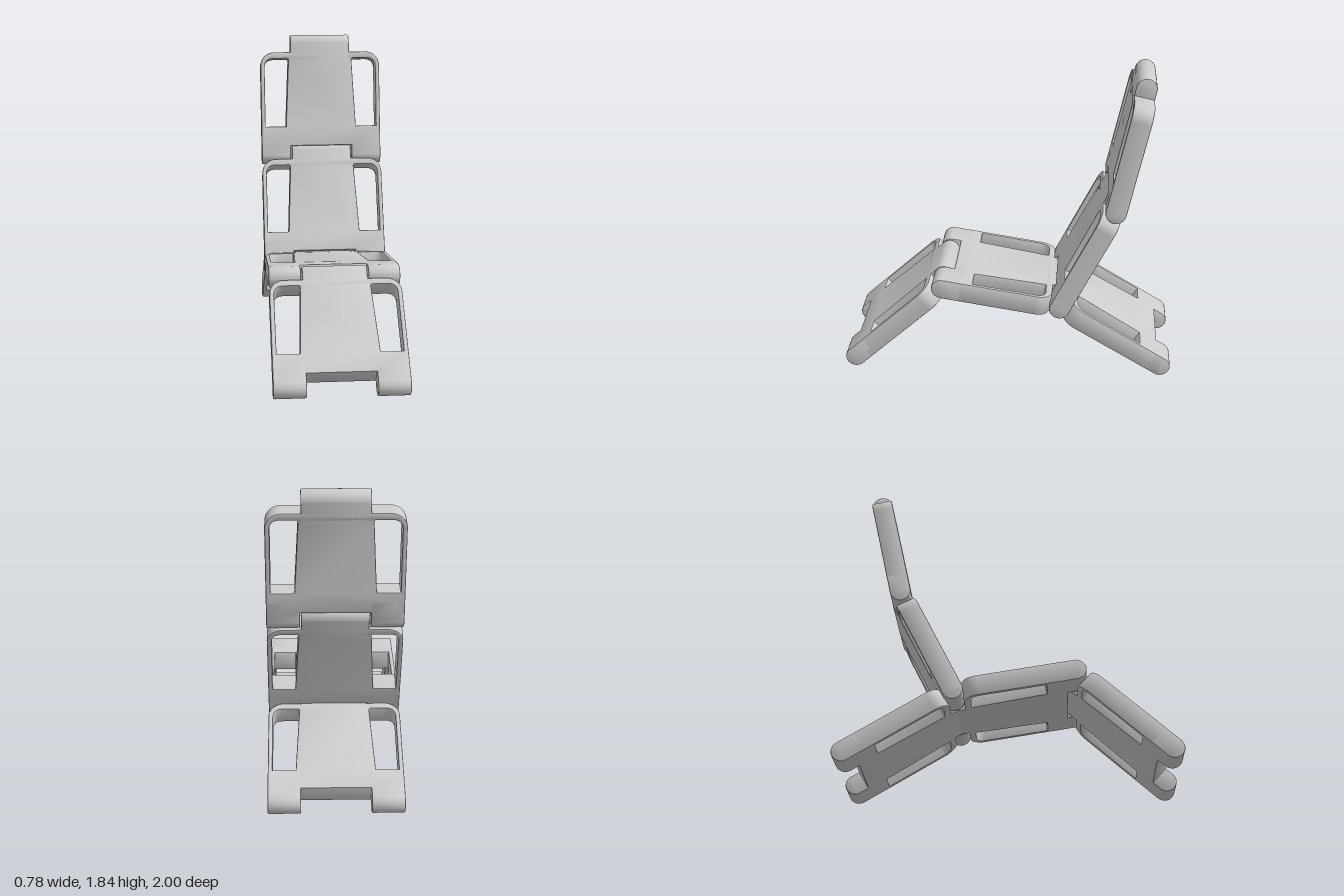
import * as THREE from 'three';
import { toCreasedNormals } from 'three/addons/utils/BufferGeometryUtils.js';

const R = 0.062;       // half thickness and hinge radius
const LENGTH = 0.722;  // distance between hinge axes
const HALF = 0.39;     // half width
const SLOT = 0.2;      // half width of the fork slot
const TONGUE = 0.193;  // half width of the tongue
const BEVEL = 0.008;

const material = new THREE.MeshStandardMaterial({ color: 0xcccccc });

// Extrude a shape to a total depth, centred, with softened edges that stay inside the outline
function extrude(shape, depth) {
  const geo = new THREE.ExtrudeGeometry(shape, {
    depth: depth - 2 * BEVEL, bevelEnabled: true, bevelThickness: BEVEL,
    bevelSize: BEVEL, bevelOffset: -BEVEL, bevelSegments: 2, curveSegments: 14,
  });
  geo.translate(0, 0, -depth / 2 + BEVEL);
  return toCreasedNormals(geo, 0.5);
}

// Flat panel with two side windows; y runs from fork to tongue
function plateGeometry() {
  const top = 0.668, c = 0.09, slotEnd = 0.055;
  const s = new THREE.Shape();
  s.moveTo(-HALF, 0.005);
  s.lineTo(-SLOT, 0.005);
  s.lineTo(-SLOT, slotEnd);
  s.lineTo(SLOT, slotEnd);
  s.lineTo(SLOT, 0.005);
  s.lineTo(HALF, 0.005);
  s.lineTo(HALF, top - c);
  s.absarc(HALF - c, top - c, c, 0, Math.PI / 2, false);
  s.lineTo(-HALF + c, top);
  s.absarc(-HALF + c, top - c, c, Math.PI / 2, Math.PI, false);
  s.closePath();

  const low = 0.182, high = 0.626, outer = 0.363, r = 0.06;
  for (const m of [-1, 1]) {
    const h = new THREE.Path();
    h.moveTo(m * 0.23, low);
    h.lineTo(m * outer, low);
    h.lineTo(m * outer, high - r);
    h.quadraticCurveTo(m * outer, high, m * (outer - r), high);
    h.lineTo(m * 0.22, high);
    h.quadraticCurveTo(m * 0.208, high, m * 0.208, high - 0.012);
    h.closePath();
    s.holes.push(h);
  }
  return extrude(s, 2 * R);
}

// Round-ended hinge lobe, its axis along x and its round end facing -y
function lobeGeometry(width) {
  const s = new THREE.Shape();
  s.absarc(0, 0, R, Math.PI, 2 * Math.PI, false);
  s.lineTo(R, 0.12);
  s.lineTo(-R, 0.12);
  s.closePath();
  return extrude(s, width).rotateY(Math.PI / 2);
}

const mesh = (geo, name) => {
  const m = new THREE.Mesh(geo, material);
  m.name = name;
  return m;
};

export function createModel() {
  const model = new THREE.Group();
  model.name = 'loungeChair';

  const plate = plateGeometry();
  const fork = lobeGeometry(HALF - SLOT);
  const tongue = lobeGeometry(2 * TONGUE).rotateZ(Math.PI);

  // Hinge axes as [z, y]
  const frontFoot = [0.938, R], knee = [0.397, 0.548], hip = [-0.318, 0.434];
  const rearFoot = [-0.938, R], waist = [-0.64, 1.072], head = [-0.795, 1.773];

  // Identical panels, each from its fork hinge to its tongue hinge
  const panels = [
    ['frontLeg', frontFoot, knee],
    ['seat', knee, hip],
    ['rearLeg', rearFoot, hip],
    ['lowerBackrest', hip, waist],
    ['upperBackrest', waist, head],
  ];
  for (const [name, from, to] of panels) {
    const panel = new THREE.Group();
    panel.name = name;
    panel.add(mesh(plate, 'panel'));
    for (const side of [-1, 1]) {
      const lobe = mesh(fork, side > 0 ? 'leftForkLobe' : 'rightForkLobe');
      lobe.position.x = side * (HALF + SLOT) / 2;
      panel.add(lobe);
    }
    const end = mesh(tongue, 'hingeTongue');
    end.position.y = LENGTH;
    panel.add(end);
    panel.position.set(0, from[1], from[0]);
    panel.rotation.x = Math.atan2(to[0] - from[0], to[1] - from[1]);
    model.add(panel);
  }
  return model;
}
